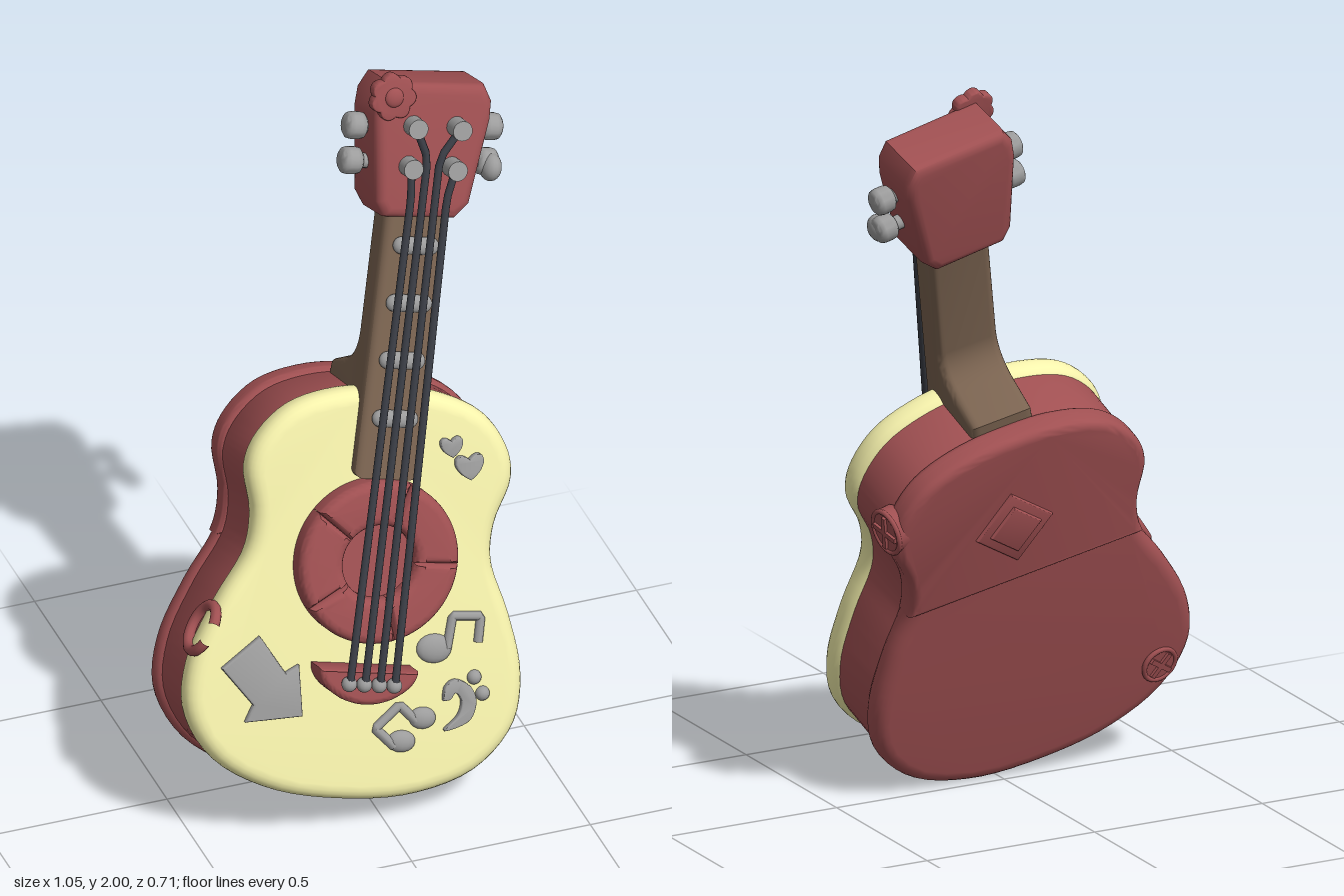
import * as THREE from 'three';
import { toCreasedNormals } from 'three/addons/utils/BufferGeometryUtils.js';

const mat = (color) => new THREE.MeshStandardMaterial({ color });
const RED = mat(0xa05052), CREAM = mat(0xf6f2ac), BROWN = mat(0x7a6350), GREY = mat(0x9c9c9c), DARK = mat(0x3a3d45);
const TILT = 0.305, LEAN = 0.235, HUB = new THREE.Vector3(0.03, 0.73, 0.165);
const Z = new THREE.Vector3(0, 0, 1);
const V2 = (a) => a.map(([x, y]) => new THREE.Vector2(x, y));

// Half outline of the body, top to bottom
const HALF = [[0, 0.455], [0.15, 0.442], [0.275, 0.392], [0.352, 0.3], [0.37, 0.22], [0.338, 0.1], [0.342, 0],
  [0.408, -0.14], [0.463, -0.3], [0.458, -0.44], [0.367, -0.565], [0.2, -0.64], [0, -0.66]];

function bodyPoints(inset = 0) {
  const mirrored = HALF.slice(1, -1).reverse().map(([x, y]) => [-x, y]);
  const pts = [...HALF, ...mirrored].map(([x, y]) => new THREE.Vector3(x, y, 0));
  return new THREE.CatmullRomCurve3(pts, true).getPoints(110).slice(0, -1)
    .map((p) => new THREE.Vector2(p.x * (1 - inset / 0.42), (p.y + 0.1) * (1 - inset / 0.55) - 0.1));
}

function add(parent, name, geometry, material, x = 0, y = 0, z = 0) {
  const m = new THREE.Mesh(geometry, material);
  m.name = name;
  m.position.set(x, y, z);
  parent.add(m);
  return m;
}

// Rounded plate between two depths
function plateGeo(shape, depth, bevel) {
  return toCreasedNormals(new THREE.ExtrudeGeometry(shape, {
    depth: depth - 2 * bevel, bevelEnabled: true, bevelSize: bevel, bevelThickness: bevel,
    bevelOffset: -bevel, bevelSegments: 5, curveSegments: 14,
  }).translate(0, 0, bevel), 0.75);
}
const plate = (parent, name, shape, z0, z1, bevel, material) =>
  add(parent, name, plateGeo(shape, z1 - z0, bevel), material, 0, 0, z0);

function rod(parent, name, points, r, material) {
  const path = new THREE.CurvePath();
  const v = points.map((p) => new THREE.Vector3(...p));
  for (let i = 1; i < v.length; i++) path.add(new THREE.LineCurve3(v[i - 1], v[i]));
  return add(parent, name, new THREE.TubeGeometry(path, 40, r, 8), material);
}

// Round badge with a raised rim and cross
function crossBadge(parent, name, r, pos, normal) {
  const g = new THREE.Group();
  g.name = name;
  add(g, 'badgeDisc', new THREE.CylinderGeometry(r, r, 0.04, 28).rotateX(Math.PI / 2), RED);
  add(g, 'badgeRim', new THREE.TorusGeometry(r * 0.92, 0.007, 8, 28), RED, 0, 0, 0.018);
  for (const a of [0.1, 0.1 + Math.PI / 2]) {
    add(g, 'badgeCross', new THREE.BoxGeometry(r * 1.5, 0.014, 0.016), RED, 0, 0, 0.02).rotation.z = a;
  }
  g.position.set(...pos);
  g.quaternion.setFromUnitVectors(Z, new THREE.Vector3(...normal).normalize());
  parent.add(g);
}

// Upright face coordinates to the leaning guitar plane
function face(x, y) {
  const dx = x - HUB.x, dy = (y - HUB.y + 0.01) / Math.cos(TILT), c = Math.cos(LEAN), s = Math.sin(LEAN);
  return [dx * c - dy * s, dx * s + dy * c];
}

function buildBody(g) {
  const outline = bodyPoints();
  plate(g, 'soundboard', new THREE.Shape(outline), -0.13, -0.035, 0.04, CREAM);
  plate(g, 'bodySides', new THREE.Shape(bodyPoints(0.012)), -0.32, -0.085, 0.005, RED);
  plate(g, 'backPanel', new THREE.Shape(outline), -0.36, -0.275, 0.038, RED);
  plate(g, 'upperBackPanel', new THREE.Shape(outline.filter((p) => p.y > -0.03)), -0.369, -0.28, 0.026, RED);

  // Diamond patch on the back
  const diamond = (r) => new THREE.Shape(V2([[r, 0], [0, r], [-r, 0], [0, -r]]));
  add(g, 'backPatch', plateGeo(diamond(0.112), 0.03, 0.006), RED, 0.03, 0.175, -0.38);
  add(g, 'backPatchCentre', plateGeo(diamond(0.075), 0.03, 0.006), RED, 0.03, 0.175, -0.388);

  crossBadge(g, 'sideBadge', 0.064, [0.352, 0.262, -0.308], [1, 0.05, -0.15]);
  crossBadge(g, 'backBadge', 0.052, [-0.355, -0.475, -0.343], [-0.1, -0.05, -1]);
  const loop = add(g, 'strapLoop', new THREE.TorusGeometry(0.065, 0.015, 10, 30, 5.5), RED, -0.438, -0.215, -0.075);
  loop.quaternion.setFromUnitVectors(Z, new THREE.Vector3(-0.92, 0.36, 0).normalize());

  // Segmented sound hole ring
  for (let i = 0; i < 5; i++) {
    const a0 = 0.02 + i * Math.PI * 0.4, a1 = a0 + Math.PI * 0.4 - 0.004;
    const s = new THREE.Shape();
    s.absarc(0, 0, 0.222, a0, a1, false);
    s.absarc(0, 0, 0.1, a1, a0, true);
    plate(g, 'soundHoleSegment', s, -0.07, 0.03, 0.026, RED);
  }
  add(g, 'soundHole', new THREE.CylinderGeometry(0.115, 0.115, 0.03, 32).rotateX(Math.PI / 2), RED, 0, 0, -0.03);

  // Bridge
  const b = new THREE.Shape();
  b.moveTo(-0.138, -0.285);
  b.lineTo(0.138, -0.285);
  b.quadraticCurveTo(0.14, -0.33, 0.07, -0.365);
  b.quadraticCurveTo(0, -0.395, -0.07, -0.365);
  b.quadraticCurveTo(-0.14, -0.33, -0.138, -0.285);
  plate(g, 'bridge', b, -0.05, 0.05, 0.018, RED);
}

function buildNeck(g) {
  const side = new THREE.Shape();
  side.moveTo(0.22, -0.1);
  side.lineTo(0.22, -0.005);
  side.lineTo(0.97, -0.005);
  side.lineTo(0.97, -0.11);
  side.lineTo(0.6, -0.11);
  side.quadraticCurveTo(0.53, -0.115, 0.505, -0.2);
  side.lineTo(0.475, -0.29);
  side.lineTo(0.38, -0.3);
  side.lineTo(0.38, -0.1);
  const geo = plateGeo(side, 0.18, 0.024).translate(0, 0, -0.09).applyMatrix4(new THREE.Matrix4().makeBasis(
    new THREE.Vector3(0, 1, 0), new THREE.Vector3(0, 0, 1), new THREE.Vector3(1, 0, 0)));
  add(g, 'neck', geo, BROWN);
  for (const q of [0.387, 0.545, 0.7, 0.856]) {
    const fret = add(g, 'fret', new THREE.CapsuleGeometry(0.024, 0.08, 6, 14).rotateZ(Math.PI / 2), GREY, 0, q, 0.004);
    fret.scale.z = 0.75;
  }
}

function buildHead(guitar) {
  const g = new THREE.Group();
  g.name = 'headstock';
  g.rotation.y = 0.07;
  guitar.add(g);
  const head = new THREE.Shape(V2([[-0.1, 0.93], [0.105, 0.93], [0.142, 0.97], [0.174, 1.2], [0.172, 1.25],
    [0.145, 1.295], [-0.13, 1.295], [-0.155, 1.25], [-0.158, 1.2], [-0.128, 0.97]]));
  plate(g, 'head', head, -0.164, 0.012, 0.028, RED);

  // Tuning pegs
  const knob = V2([[0, -0.028], [0.026, -0.028], [0.034, -0.022], [0.037, -0.01], [0.037, 0.01], [0.034, 0.022], [0.026, 0.028], [0, 0.028]]);
  for (const [p, lift] of [[-0.184, 0.006], [0.205, 0.01]]) for (const q of [1.06, 1.155]) {
    add(g, 'pegShaft', new THREE.CylinderGeometry(0.02, 0.02, 0.09, 14).rotateZ(Math.PI / 2), GREY, p * 0.8, q + lift, -0.07);
    add(g, 'pegKnob', toCreasedNormals(new THREE.LatheGeometry(knob, 20), 0.9).rotateZ(Math.PI / 2), GREY, p, q + lift, -0.07);
  }
  add(g, 'pegCap', new THREE.SphereGeometry(0.038, 18, 12), GREY, 0.212, 1.06, -0.05).scale.x = 0.75;

  // Flower ornament on the corner
  const petals = [];
  for (let i = 0; i < 84; i++) {
    const a = (i / 84) * Math.PI * 2, r = 0.055 + 0.01 * Math.abs(Math.cos(a * 3.5));
    petals.push([r * Math.cos(a), r * Math.sin(a)]);
  }
  add(g, 'flower', plateGeo(new THREE.Shape(V2(petals)), 0.032, 0.006), RED, -0.122, 1.26, -0.008);
  add(g, 'flowerCentre', new THREE.SphereGeometry(0.027, 16, 10), RED, -0.122, 1.26, 0.022).scale.z = 0.5;
}

function buildStrings(g) {
  for (const s of [-1, 1]) for (const outer of [true, false]) {
    const p0 = s * (outer ? 0.063 : 0.021), p1 = 0.006 + s * (outer ? 0.05 : 0.017), q = outer ? 1.074 : 1.183;
    const post = 0.009 + s * 0.062;
    add(g, 'bridgePin', new THREE.SphereGeometry(0.021, 14, 10), GREY, p0, -0.318, 0.068);
    rod(g, 'string', [[p0, -0.315, 0.075], [p1, q - 0.08, 0.042], [post, q, 0.042]], 0.011, DARK);
    add(g, 'stringPost', new THREE.CylinderGeometry(0.027, 0.027, 0.06, 18).rotateX(Math.PI / 2), GREY, post, q, 0.032);
  }
}

function buildDecorations(g) {
  const TOP = -0.018;
  const flat = (name, pts) => plate(g, name, new THREE.Shape(V2(pts.map(([x, y]) => face(x, y)))), -0.045, TOP, 0.005, GREY);
  const blob = (name, x, y, rx, ry = rx) => {
    const m = add(g, name, new THREE.SphereGeometry(1, 16, 10), GREY, ...face(x, y), -0.036);
    m.scale.set(rx, ry, 0.02);
  };
  const line = (name, pts, r) => rod(g, name, pts.map(([x, y]) => [...face(x, y), -0.032]), r, GREY);

  flat('arrow', [[-0.42, 0.517], [-0.345, 0.407], [-0.372, 0.367], [-0.214, 0.353], [-0.208, 0.487], [-0.247, 0.473], [-0.306, 0.58]]);

  // Hearts
  for (const [x, y, r] of [[0.277, 0.968, 0.03], [0.32, 0.908, 0.038]]) {
    const h = new THREE.Shape();
    h.moveTo(0, -r);
    h.bezierCurveTo(r * 1.7, 0, r, r * 1.5, 0, r * 0.5);
    h.bezierCurveTo(-r, r * 1.5, -r * 1.7, 0, 0, -r);
    add(g, 'heart', plateGeo(h, 0.027, 0.004), GREY, ...face(x, y), -0.045).rotation.z = 0.2;
  }

  // Notes and clef
  blob('noteHead', 0.17, 0.455, 0.05, 0.04);
  line('noteStem', [[0.205, 0.45], [0.23, 0.53], [0.307, 0.515], [0.292, 0.45]], 0.013);
  blob('noteHead', 0.052, 0.233, 0.04, 0.03);
  blob('noteHead', 0.117, 0.282, 0.038, 0.03);
  line('noteBeam', [[0.03, 0.225], [-0.016, 0.28], [0.057, 0.328], [0.097, 0.28]], 0.013);
  const clef = new THREE.Shape(new THREE.SplineCurve(V2([[0.176, 0.318], [0.186, 0.352], [0.216, 0.366], [0.254, 0.342], [0.266, 0.298],
    [0.239, 0.252], [0.169, 0.24], [0.212, 0.272], [0.226, 0.308], [0.212, 0.332], [0.196, 0.318], [0.176, 0.318]]
    .map(([x, y]) => face(x, y)))).getPoints(50).slice(0, -1));
  plate(g, 'clef', clef, -0.045, TOP, 0.003, GREY);
  blob('clefDot', 0.271, 0.36, 0.02);
  blob('clefDot', 0.289, 0.314, 0.02);
}

export function createModel() {
  const guitar = new THREE.Group();
  guitar.name = 'guitar';
  for (const build of [buildBody, buildNeck, buildHead, buildStrings, buildDecorations]) build(guitar);
  guitar.rotation.set(-TILT, 0, -LEAN);
  guitar.position.copy(HUB);

  // Stand on the ground, centred
  const root = new THREE.Group();
  root.name = 'model';
  root.add(guitar);
  root.updateMatrixWorld(true);
  const box = new THREE.Box3().setFromObject(root, true), c = box.getCenter(new THREE.Vector3());
  guitar.position.sub(new THREE.Vector3(c.x, box.min.y, c.z));
  return root;
}
